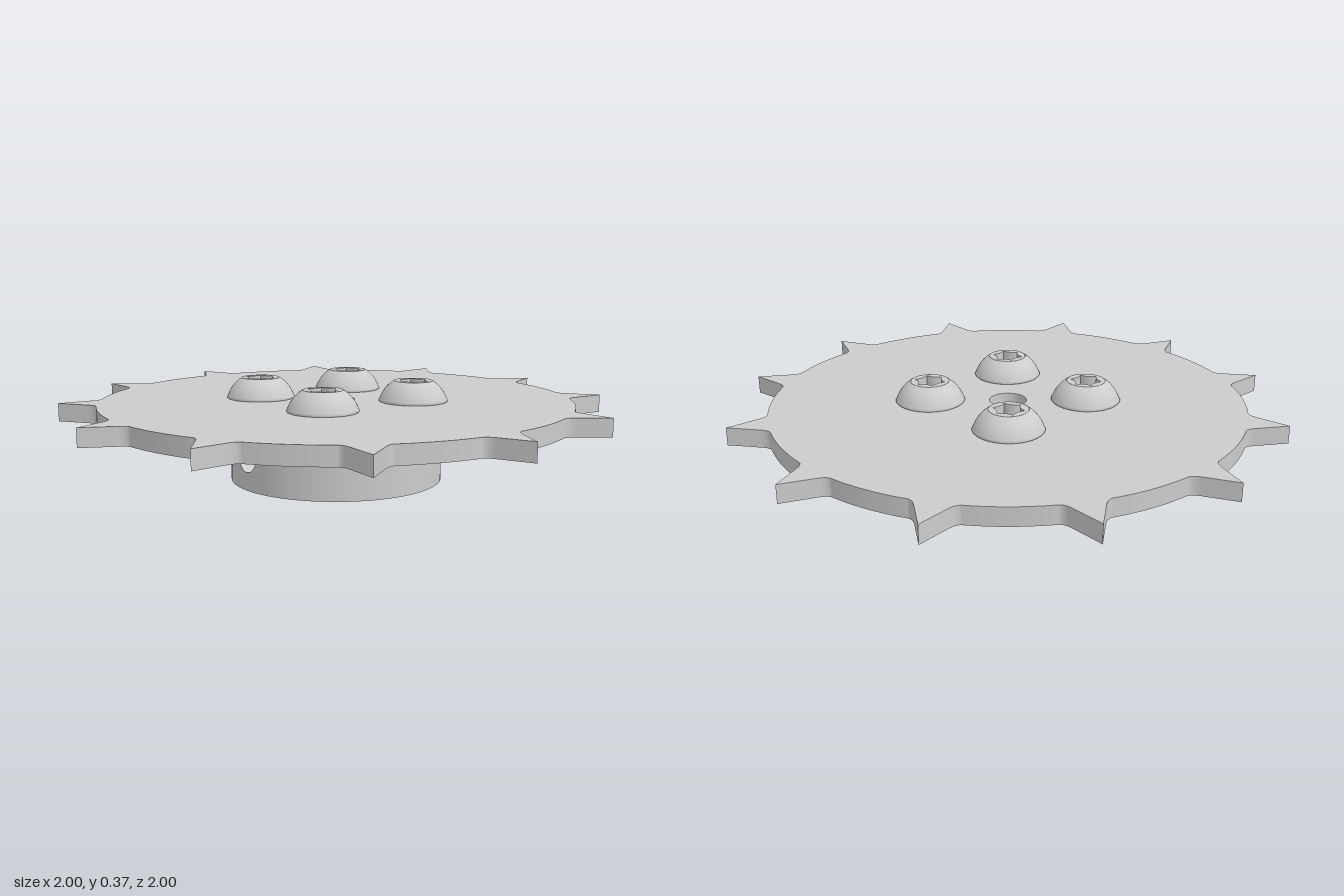
import * as THREE from 'three';
import { ParametricGeometry } from 'three/addons/geometries/ParametricGeometry.js';

const HUB_R = 0.387, HUB_H = 0.225, BORE_R = 0.068;   // hub
const PLATE_R = 0.86, PLATE_TOP = 0.29, TEETH = 12;   // toothed disc
const SIDE_R = 0.055, SIDE_Y = 0.12;                  // sideways hole in the hub
const SCREW_POS = 0.2, SCREW_R = 0.07;                // four screws

const material = new THREE.MeshStandardMaterial({ color: 0xcccccc });
const doubleSided = new THREE.MeshStandardMaterial({ color: 0xcccccc, side: THREE.DoubleSide });

function add(parent, name, geometry, mat = material) {
  const mesh = new THREE.Mesh(geometry, mat);
  mesh.name = name;
  parent.add(mesh);
  return mesh;
}

function circleHole(x, y, r) {
  return new THREE.Path().absarc(x, y, r, 0, Math.PI * 2, true);
}

const screwSpots = [[1, 1], [-1, 1], [-1, -1], [1, -1]].map(p => p.map(s => s * SCREW_POS));

// Flat disc with pointed teeth, each blended into the rim by a small fillet
function createPlate() {
  const shape = new THREE.Shape();
  for (let i = 0; i < TEETH; i++) {
    const a = (i / TEETH) * Math.PI * 2;
    const at = (r, w) => [r * Math.cos(a) - w * Math.sin(a), r * Math.sin(a) + w * Math.cos(a)];
    const foot = 0.095;
    const rim = s => [PLATE_R * Math.cos(a + s * foot), PLATE_R * Math.sin(a + s * foot)];
    if (i === 0) shape.moveTo(...rim(-1));
    shape.quadraticCurveTo(...at(0.861, -0.064), ...at(0.89, -0.051));
    shape.lineTo(...at(1, 0));
    shape.lineTo(...at(0.89, 0.051));
    shape.quadraticCurveTo(...at(0.861, 0.064), ...rim(1));
    shape.absarc(0, 0, PLATE_R, a + foot, a + (Math.PI * 2) / TEETH - foot, false);
  }
  shape.holes.push(circleHole(0, 0, BORE_R));
  return new THREE.ExtrudeGeometry(shape, { depth: PLATE_TOP - HUB_H, bevelEnabled: false, curveSegments: 16 })
    .rotateX(-Math.PI / 2).translate(0, HUB_H, 0);
}

// Cylindrical wall pierced by the sideways hole on its -x side
function addPiercedWall(parent, name, radius, halfAngle) {
  const rest = new THREE.CylinderGeometry(radius, radius, HUB_H, 64, 1, true,
    Math.PI * 1.5 + halfAngle, Math.PI * 2 - halfAngle * 2);
  add(parent, name, rest.translate(0, HUB_H / 2, 0), doubleSided);
  // patch running from the hole's edge out to a rectangle
  const patch = new ParametricGeometry((u, v, p) => {
    const t = u * Math.PI * 2, c = Math.cos(t), s = Math.sin(t);
    const m = Math.max(Math.abs(c), Math.abs(s));
    const edgeY = SIDE_Y + SIDE_R * s;
    const rectY = (HUB_H / 2) * (1 + s / m);
    const angle = THREE.MathUtils.lerp(Math.asin((SIDE_R * c) / radius), (halfAngle * c) / m, v);
    p.set(-radius * Math.cos(angle), THREE.MathUtils.lerp(edgeY, rectY, v), radius * Math.sin(angle));
  }, 64, 12);
  add(parent, name + 'AroundSideHole', patch, doubleSided);
}

function createHub() {
  const hub = new THREE.Group();
  hub.name = 'hub';
  addPiercedWall(hub, 'outerWall', HUB_R, 0.35);
  addPiercedWall(hub, 'boreWall', BORE_R, 1.2);

  // radial hole from the outer wall to the bore
  add(hub, 'sideHole', new ParametricGeometry((u, v, p) => {
    const t = u * Math.PI * 2, z = SIDE_R * Math.cos(t);
    const x = r => -Math.sqrt(r * r - z * z);
    p.set(THREE.MathUtils.lerp(x(HUB_R), x(BORE_R), v), SIDE_Y + SIDE_R * Math.sin(t), z);
  }, 48, 1), doubleSided);

  // bottom face with the bore and screw holes
  const face = new THREE.Shape().absarc(0, 0, HUB_R, 0, Math.PI * 2, false);
  face.holes.push(circleHole(0, 0, BORE_R));
  for (const [x, z] of screwSpots) face.holes.push(circleHole(x, z, SCREW_R));
  add(hub, 'bottomFace', new THREE.ShapeGeometry(face, 48).rotateX(Math.PI / 2));

  for (const [x, z] of screwSpots) {
    const hole = new THREE.CylinderGeometry(SCREW_R, SCREW_R, 0.04, 40, 1, true);
    add(hub, 'screwHole', hole.translate(x, 0.02, z), doubleSided);
  }
  return hub;
}

// Button-head screw with a six-pointed socket
function createScrew() {
  const screw = new THREE.Group();
  screw.name = 'screw';
  const top = 0.365, flatR = 0.07, socketFloor = 0.31, shankEnd = 0.04;

  // domed side of the head
  const profile = [new THREE.Vector2(0.122, PLATE_TOP), new THREE.Vector2(0.126, 0.294)];
  const domeR = 0.131, domeY = top - Math.sqrt(domeR ** 2 - flatR ** 2);
  const start = Math.asin((0.301 - domeY) / domeR), end = Math.acos(flatR / domeR);
  for (let i = 0; i <= 10; i++) {
    const a = THREE.MathUtils.lerp(start, end, i / 10);
    profile.push(new THREE.Vector2(domeR * Math.cos(a), domeY + domeR * Math.sin(a)));
  }
  add(screw, 'head', new THREE.LatheGeometry(profile, 48), doubleSided);

  // flat top with the star-shaped socket cut into it
  const ring = new THREE.Shape().absarc(0, 0, flatR, 0, Math.PI * 2, false);
  const star = new THREE.Path();
  const polar = (r, a) => [r * Math.cos(a), r * Math.sin(a)];
  star.moveTo(...polar(0.057, 0));
  for (let i = 0; i < 6; i++) {
    const a = -(i * Math.PI) / 3;
    star.quadraticCurveTo(...polar(0.034, a - Math.PI / 6), ...polar(0.057, a - Math.PI / 3));
  }
  ring.holes.push(star);
  add(screw, 'socket', new THREE.ExtrudeGeometry(ring, { depth: top - socketFloor, bevelEnabled: false, curveSegments: 10 })
    .rotateX(-Math.PI / 2).translate(0, socketFloor, 0));

  // shank, whose upper end is the socket floor
  const length = socketFloor - shankEnd;
  add(screw, 'shank', new THREE.CylinderGeometry(SCREW_R, SCREW_R, length, 40)
    .translate(0, shankEnd + length / 2, 0));
  return screw;
}

export function createModel() {
  const model = new THREE.Group();
  model.name = 'toothedWheel';
  add(model, 'toothedPlate', createPlate());
  model.add(createHub());
  for (const [x, z] of screwSpots) {
    const screw = createScrew();
    screw.position.set(x, 0, z);
    model.add(screw);
  }
  return model;
}
